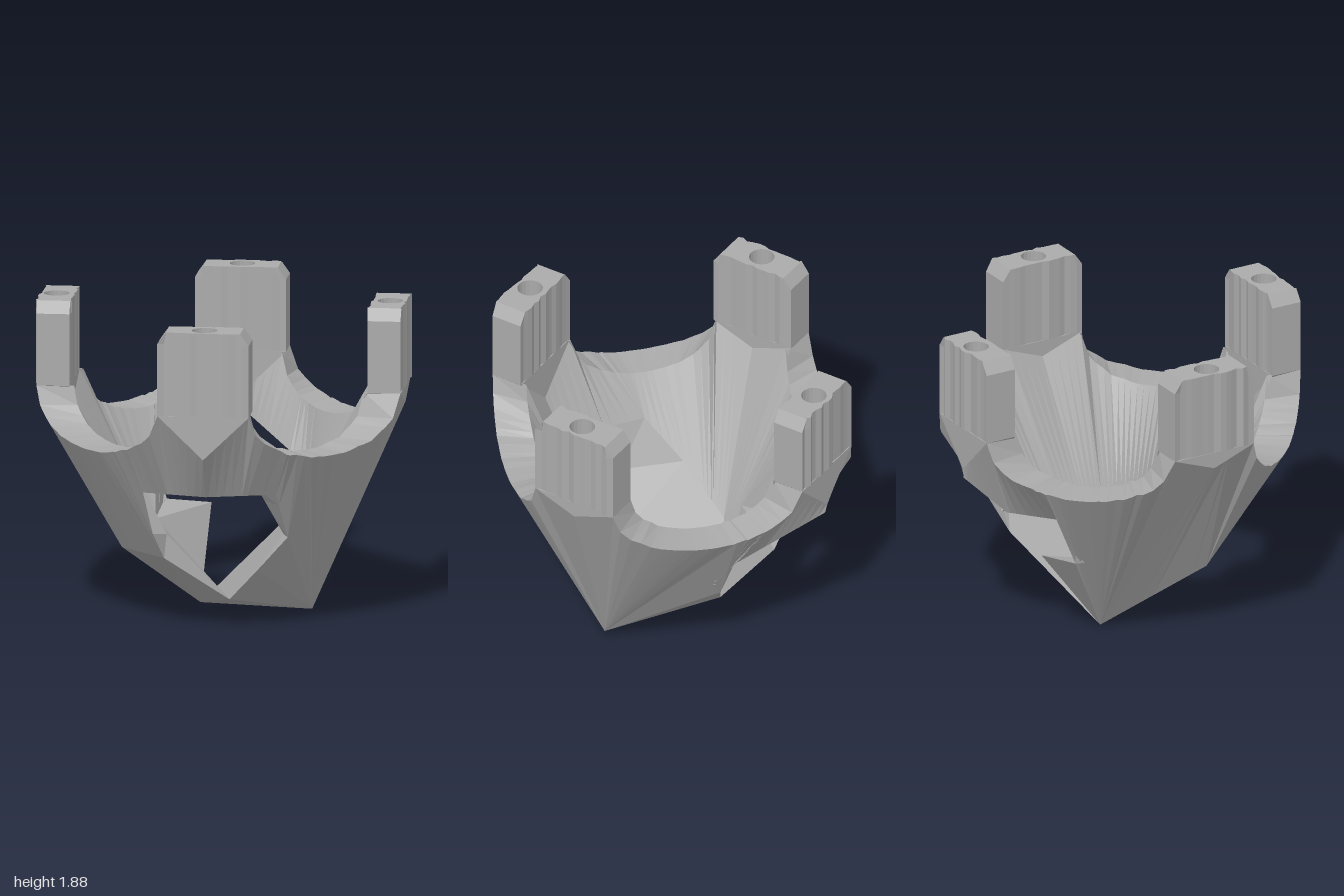
import * as THREE from 'three';

const RAD = Math.PI / 180;
const EDGE = Math.atan(0.57 / 0.95) / RAD; // angle where a side meets a post
const HALF = 0.27;                         // half width of a post
const R_IN = 0.88, R_OUT = 1.075;          // post depth along the diagonal
const SHOULDER = 1.38;                     // height where posts leave the shell

function seeded(seed) {
  return () => {
    seed = (seed * 16807) % 2147483647;
    return seed / 2147483647;
  };
}

// Low points of the outer skin
const A = [0.29, 0.05, 0.47], B = [0.05, 0, -0.28], C = [-0.25, 0.16, 0.37];
const D = [-0.59, 0.42, 0.18], E = [0.63, 0.48, -0.15], F = [-0.58, 0.42, -0.23];
const J = [-0.1, 0.57, 0.73], K = [-0.2, 0.36, 0.57], M = [-0.69, 0.58, 0.2];
const H = [0.1, 0.55, -0.68], G = [0.34, 0.52, -0.54];
// Points where the inner walls meet the sloping floor
const R = [0.66, 0.57, -0.05], S = [-0.06, 0.57, 0.64];
const T = [-0.45, 0.65, -0.17], Q = [-0.21, 0.38, -0.36], N = [-0.15, 0.5, -0.45];
const U = [-0.64, 0.86, 0.02], V = [-0.57, 0.56, 0.18];

// Lower borders by angle: [angle, outer point, inner point], lifted over the two openings
const BORDER = [
  [-10, E, R], [-9, A, R], [100, A, S], [104, J, S],
  [108, [-0.26, 0.86, 0.82], [-0.25, 0.86, 0.64]],
  [135, [-0.63, 0.86, 0.62], [-0.55, 0.86, 0.53]],
  [163, [-0.83, 0.86, 0.28], U], [168, M, U],
  [174, D, U], [185, F, T], [220, F, Q], [228, B, Q], [250, B, N], [275, B, N], [282, H, H],
  [285, [0.14, 0.86, -0.78], [0.1, 0.86, -0.64]],
  [302, [0.5, 0.86, -0.74], [0.44, 0.86, -0.67]],
  [315, [0.76, 1.06, -0.75], [0.63, 1.04, -0.63]],
  [340, [0.84, 0.84, -0.2], [0.66, 0.84, -0.2]],
  [346, [0.71, 0.62, -0.1], [0.66, 0.62, -0.08]],
  [350, E, R],
];

function borderAt(phi, layer) {
  let i = 0;
  while (i < BORDER.length - 2 && phi > BORDER[i + 1][0]) i++;
  const a = BORDER[i], b = BORDER[i + 1];
  const t = (phi - a[0]) / (b[0] - a[0]);
  return a[layer].map((v, n) => v + (b[layer][n] - v) * t);
}

function turned(u, y, v, deg) {
  const c = Math.cos(deg * RAD), s = Math.sin(deg * RAD);
  return [u * c - v * s, y, u * s + v * c];
}

// Lowest point of a post foot: deeper over the openings
const footTip = corner => (corner % 180 === 135 || corner % 180 === -45 ? 1.12 : 1.28);

// Outer and inner rim points: scalloped on the sides, V-shaped under the posts
function rimAt(phi, jitter) {
  const k = Math.round(phi / 90), a = phi - 90 * k;
  if (Math.abs(a) <= EDGE + 1e-6) {
    const s = Math.max(-1, Math.min(1, Math.tan(a * RAD) / Math.tan(EDGE * RAD)));
    const fade = 1 - s * s;
    const y = 1.09 + (SHOULDER - 1.09) * (1 - Math.sqrt(fade)) + jitter * Math.abs(s) * Math.sqrt(fade);
    return [turned(0.95 + 0.05 * fade, y, 0.57 * s, 90 * k), turned(0.78, y, 0.43 * s, 90 * k)];
  }
  const corner = 90 * k + 45 * Math.sign(a);
  const d = R_OUT * Math.tan((phi - corner) * RAD);
  const tip = footTip(corner);
  const y = tip + (SHOULDER - tip) * Math.abs(d) / HALF;
  return [turned(R_OUT, y, d, corner), turned(R_IN, y, d, corner)];
}

function surface(triangles, material, name) {
  const g = new THREE.BufferGeometry();
  g.setAttribute('position', new THREE.Float32BufferAttribute(triangles.flat(2), 3));
  g.computeVertexNormals();
  const mesh = new THREE.Mesh(g, material);
  mesh.name = name;
  return mesh;
}

// Strip of quads between two rows of points
function strip(top, bottom) {
  const out = [];
  for (let i = 0; i < top.length - 1; i++) {
    out.push([top[i], top[i + 1], bottom[i + 1]], [top[i], bottom[i + 1], bottom[i]]);
  }
  return out;
}

function makeShell(material) {
  const group = new THREE.Group();
  group.name = 'shell';
  const rand = seeded(11);
  const angles = new Set(BORDER.map(([a]) => a));
  for (let a = -10; a <= 350; a += 3) angles.add(a);
  for (let k = 0; k < 4; k++) {
    angles.add(90 * k + EDGE);
    angles.add(90 * k + 45);
    angles.add(90 * k + 90 - EDGE);
  }
  const list = [...angles].sort((a, b) => a - b);
  const rims = list.map((a, i) =>
    rimAt(a, i === 0 || i === list.length - 1 ? 0 : (rand() - 0.5) * 0.035));
  const outer = rims.map(r => r[0]), inner = rims.map(r => r[1]);
  const low = list.map(a => borderAt(a, 1)), lowIn = list.map(a => borderAt(a, 2));

  // The opening edges are only needed where the skins end in the air
  const edges = (from, to) => {
    const i = list.indexOf(from), j = list.indexOf(to) + 1;
    return strip(low.slice(i, j), lowIn.slice(i, j));
  };

  group.add(surface(strip(outer, low), material, 'outerWall'));
  group.add(surface(strip(lowIn, inner), material, 'innerWall'));
  group.add(surface(strip(inner, outer), material, 'scallopedRim'));
  group.add(surface([
    ...edges(104, 168), ...edges(282, 350), [M, V, U], [M, D, V], [D, C, V],
  ], material, 'openingEdges'));
  group.add(surface([
    [A, B, C], [A, E, B], [B, D, C], [B, F, D], [A, C, K], [A, K, J],
  ], material, 'underside'));
  // Two slopes rising from the crease between B and C
  group.add(surface([
    [B, C, S], [B, S, R], [B, R, E], [C, K, S], [K, J, S],
    [B, T, C], [C, T, V], [V, T, U], [B, Q, T],
  ], material, 'slopingFloor'));
  group.add(surface([[B, N, Q], [B, G, N], [N, G, H], [B, H, G]], material, 'tornFlap'));
  return group;
}

function makePost(material, corner, seed) {
  const rand = seeded(seed);
  const post = new THREE.Group();
  post.name = 'cornerPost';

  // Fluted faces, screw hole and chamfered top ends
  const plan = new THREE.Shape();
  const n = 14;
  const across = i => -HALF + (2 * HALF * i) / n;
  plan.moveTo(R_IN, -HALF);
  plan.lineTo(R_OUT, -HALF);
  for (let i = 1; i < n; i++) plan.lineTo(R_OUT - 0.01 + rand() * 0.024, across(i));
  plan.lineTo(R_OUT, HALF);
  plan.lineTo(R_IN, HALF);
  for (let i = n - 1; i > 0; i--) plan.lineTo(R_IN - 0.008 + rand() * 0.018, across(i));
  plan.closePath();
  const hole = new THREE.Path();
  hole.absarc(0.985, 0, 0.075, 0, Math.PI * 2, true);
  plan.holes.push(hole);
  const body = new THREE.ExtrudeGeometry(plan, { depth: 2, steps: 2, bevelEnabled: false, curveSegments: 10 });
  const p = body.attributes.position;
  const heights = [SHOULDER, 1.81, 1.88];
  for (let i = 0; i < p.count; i++) {
    const level = Math.round(p.getZ(i));
    if (level === 2) p.setY(i, Math.max(-0.22, Math.min(0.22, p.getY(i))));
    p.setZ(i, heights[level]);
  }
  body.rotateX(-Math.PI / 2);
  body.computeVertexNormals();
  const bodyMesh = new THREE.Mesh(body, material);
  bodyMesh.name = 'postBody';

  // Pointed foot that sinks into the shell
  const vee = new THREE.Shape([
    new THREE.Vector2(-HALF, SHOULDER),
    new THREE.Vector2(0, footTip(corner)),
    new THREE.Vector2(HALF, SHOULDER),
  ]);
  const foot = new THREE.ExtrudeGeometry(vee, { depth: R_OUT - R_IN, bevelEnabled: false });
  foot.rotateY(Math.PI / 2);
  foot.translate(R_IN, 0, 0);
  const footMesh = new THREE.Mesh(foot, material);
  footMesh.name = 'postFoot';

  post.add(bodyMesh, footMesh);
  post.rotation.y = -corner * RAD;
  return post;
}

export function createModel() {
  const grey = new THREE.MeshStandardMaterial({ color: 0xaaaaaa });
  grey.name = 'grey';
  grey.flatShading = true;
  grey.side = THREE.DoubleSide;

  const model = new THREE.Group();
  model.name = 'fourPostBowl';
  model.add(makeShell(grey));
  for (let k = 0; k < 4; k++) model.add(makePost(grey, 45 + 90 * k, 101 + 37 * k));
  return model;
}
